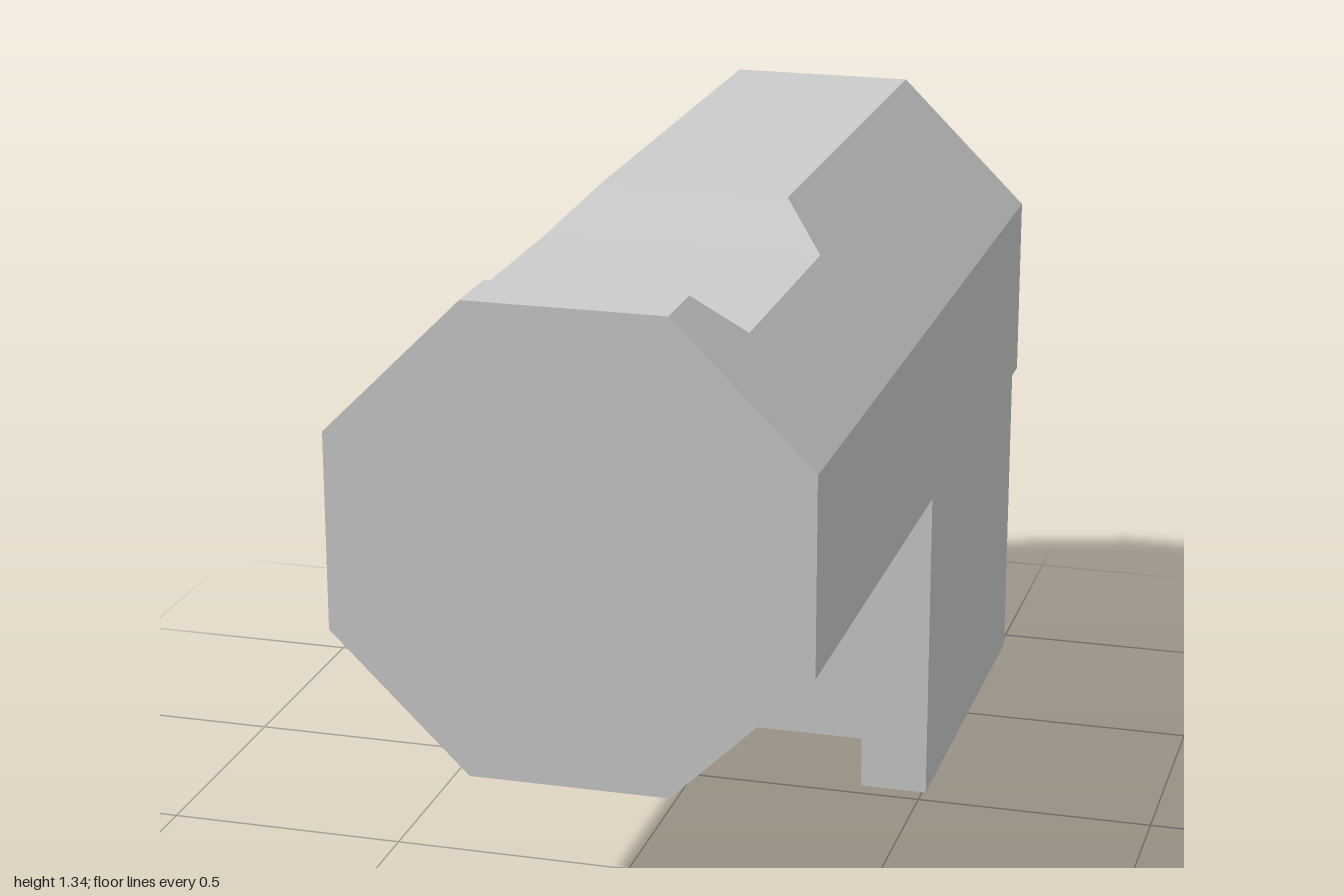
import * as THREE from 'three';

const mat = () => new THREE.MeshStandardMaterial({ color: 0xcccccc, flatShading: true });

function shapeFrom(points) {
  return new THREE.Shape(points.map(([x, y]) => new THREE.Vector2(x, y)));
}

// Octagon cross-section, counter-clockwise from the front; the flat top can be cut lower
function section(z, top) {
  const drop = 1.34 - top;
  return [
    [-0.165, 0.4], [0.23, 0.4], [0.508, 0.67], [0.508, 1.065],
    [0.23 + drop, top], [-0.165 - drop, top], [-0.44, 1.065], [-0.44, 0.67],
  ].map(([x, y]) => [x, y, z]);
}

// Skin between consecutive sections, with capped ends
function loft(sections) {
  const pos = [];
  const tri = (a, b, c) => pos.push(...a, ...b, ...c);
  const n = sections[0].length;
  for (let s = 0; s < sections.length - 1; s++) {
    const p = sections[s], q = sections[s + 1];
    for (let i = 0; i < n; i++) {
      const j = (i + 1) % n;
      tri(p[i], p[j], q[j]);
      tri(p[i], q[j], q[i]);
    }
  }
  const back = sections[0], front = sections[sections.length - 1];
  for (let i = 1; i < n - 1; i++) {
    tri(back[0], back[i + 1], back[i]);
    tri(front[0], front[i], front[i + 1]);
  }
  const geo = new THREE.BufferGeometry();
  geo.setAttribute('position', new THREE.Float32BufferAttribute(pos, 3));
  geo.computeVertexNormals();
  return geo;
}

export function createModel() {
  const model = new THREE.Group();
  const add = (name, geo) => {
    const mesh = new THREE.Mesh(geo, mat());
    mesh.name = name;
    model.add(mesh);
    return mesh;
  };

  // Octagonal housing with a sloped recess across its top
  const stations = [[-1, 1.34], [0.12, 1.34], [0.21, 1.25], [0.77, 1.25], [0.86, 1.34], [1, 1.34]];
  add('housing', loft(stations.map(([z, top]) => section(z, top))));

  // Mounting base cradling the housing, with a channel underneath
  const base = shapeFrom([
    [-0.44, 0], [-0.3, 0], [-0.3, 0.11], [0.365, 0.11], [0.365, 0], [0.508, 0],
    [0.508, 0.67], [0.23, 0.4], [-0.165, 0.4], [-0.44, 0.67],
  ]);
  add('mountingBase', new THREE.ExtrudeGeometry(base, { depth: 0.9, bevelEnabled: false }))
    .position.z = -0.94;

  // Side plate, drawn in z and y, with small rounded corners and a slot open at the bottom
  const z0 = -0.89, z1 = -0.1, y0 = 0.37, y1 = 0.85, r = 0.015;
  const slotZ = -0.245, slotR = 0.055, slotY = 0.575;
  const plate = new THREE.Shape();
  plate.moveTo(z0 + r, y0);
  plate.lineTo(slotZ - slotR, y0);
  plate.lineTo(slotZ - slotR, slotY);
  plate.absarc(slotZ, slotY, slotR, Math.PI, 0, true);
  plate.lineTo(slotZ + slotR, y0);
  plate.lineTo(z1 - r, y0);
  plate.absarc(z1 - r, y0 + r, r, -Math.PI / 2, 0);
  plate.absarc(z1 - r, y1 - r, r, 0, Math.PI / 2);
  plate.absarc(z0 + r, y1 - r, r, Math.PI / 2, Math.PI);
  plate.absarc(z0 + r, y0 + r, r, Math.PI, Math.PI * 1.5);
  const plateGeo = new THREE.ExtrudeGeometry(plate, { depth: 0.07, bevelEnabled: false, curveSegments: 10 });
  plateGeo.rotateY(-Math.PI / 2);
  add('sidePlate', plateGeo).position.x = -0.439;

  return model;
}
